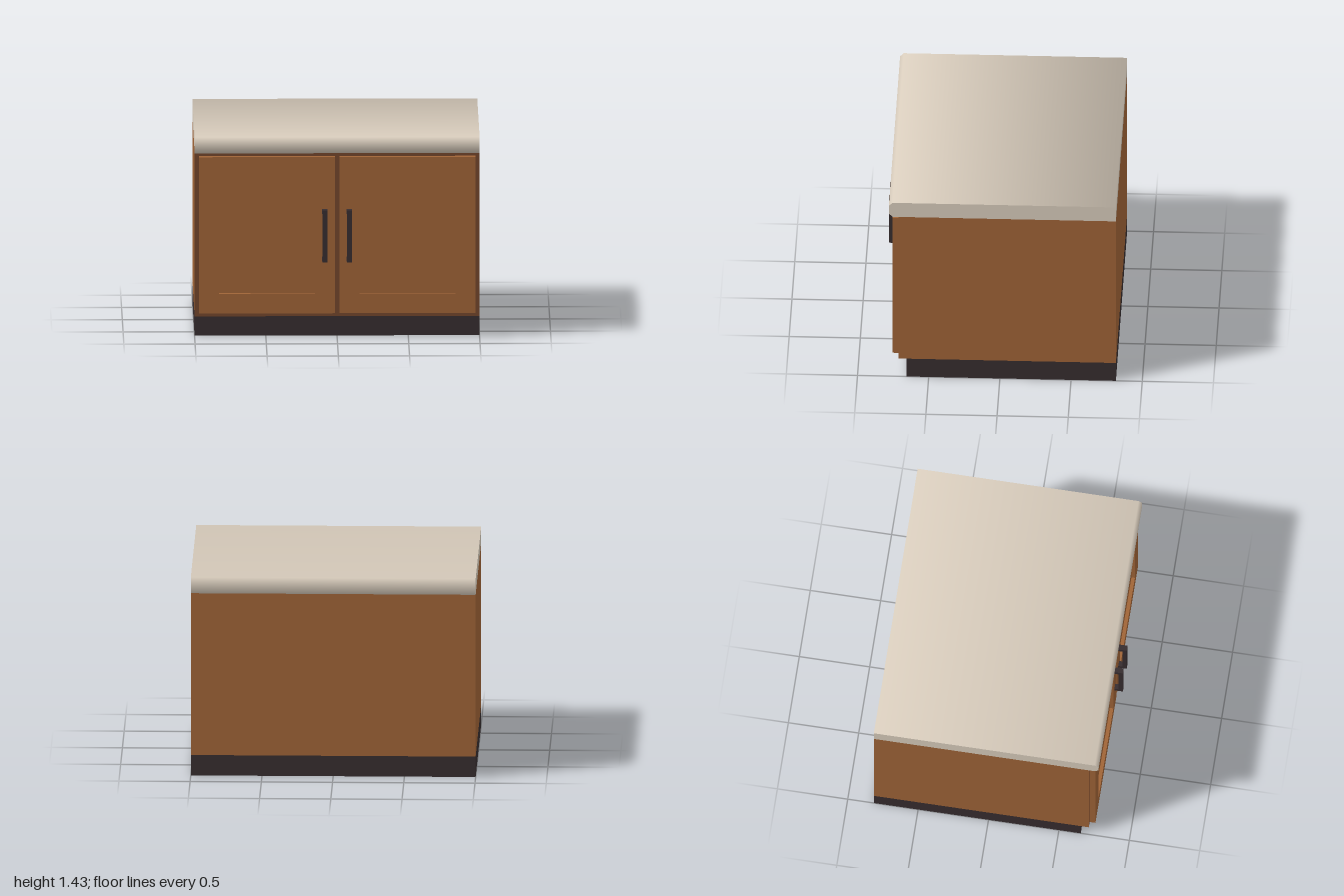
import * as THREE from 'three';

const mat = (name, color, side = THREE.FrontSide) => {
  const m = new THREE.MeshStandardMaterial({ color, side });
  m.name = name;
  return m;
};

// Rectangle as a closed outline, used for shapes and holes
function rect(Type, x0, y0, x1, y1) {
  const p = new Type();
  p.moveTo(x0, y0);
  p.lineTo(x1, y0);
  p.lineTo(x1, y1);
  p.lineTo(x0, y1);
  p.closePath();
  return p;
}

// Worktop band with normals blended around the profile, [z, y] points
function worktopBand(profile) {
  const n = profile.length;
  const faceNormal = (i) => {
    const [z0, y0] = profile[(i + n) % n], [z1, y1] = profile[(i + 1) % n];
    return new THREE.Vector3(0, z1 - z0, y0 - y1).normalize();
  };
  const pos = [], nor = [], idx = [];
  profile.forEach(([z, y], i) => {
    const v = faceNormal(i - 1).add(faceNormal(i)).normalize();
    for (const x of [-1, 1]) {
      pos.push(x, y, z);
      nor.push(v.x, v.y, v.z);
    }
    const a = 2 * i, b = 2 * ((i + 1) % n);
    idx.push(a, b, a + 1, a + 1, b, b + 1);
  });
  const g = new THREE.BufferGeometry();
  g.setAttribute('position', new THREE.Float32BufferAttribute(pos, 3));
  g.setAttribute('normal', new THREE.Float32BufferAttribute(nor, 3));
  g.setIndex(idx);
  return g;
}

export function createModel() {
  const model = new THREE.Group();
  model.name = 'baseCabinet';

  const wood = mat('wood', 0xa06437);
  const darkWood = mat('darkWood', 0x73462c);
  const stone = mat('stone', 0xd9cdbd, THREE.DoubleSide);
  const black = mat('blackBrown', 0x372d2f, THREE.DoubleSide);

  const add = (parent, name, geo, material) => {
    const m = new THREE.Mesh(geo, material);
    m.name = name;
    parent.add(m);
    return m;
  };
  // Box given by its lower and upper corners
  const box = (x0, y0, z0, x1, y1, z1) =>
    new THREE.BoxGeometry(x1 - x0, y1 - y0, z1 - z0)
      .translate((x0 + x1) / 2, (y0 + y1) / 2, (z0 + z1) / 2);

  const back = -0.815, face = 0.712, doorFront = 0.755;

  // Carcass with a darker front frame
  add(model, 'carcass', box(-1, 0.147, back, 1, 1.315, face),
    [wood, wood, wood, wood, darkWood, wood]);

  // Plinth: four thin walls, open underneath
  const plinth = new THREE.Group();
  plinth.name = 'plinth';
  model.add(plinth);
  const h = 0.147, toe = 0.655, depth = toe - back, mid = (toe + back) / 2;
  add(plinth, 'plinthFront', new THREE.PlaneGeometry(2, h).translate(0, h / 2, toe), black);
  add(plinth, 'plinthBack',
    new THREE.PlaneGeometry(2, h).rotateY(Math.PI).translate(0, h / 2, back), black);
  for (const s of [1, -1]) {
    add(plinth, s > 0 ? 'plinthLeft' : 'plinthRight',
      new THREE.PlaneGeometry(depth, h).rotateY(s * Math.PI / 2).translate(s, h / 2, mid), black);
  }

  // Doors with recessed panels and bracket handles
  for (const s of [1, -1]) {
    const door = new THREE.Group();
    door.name = s > 0 ? 'leftDoor' : 'rightDoor';
    model.add(door);
    const span = (a, b) => (s > 0 ? [a, b] : [-b, -a]);

    const [x0, x1] = span(0.015, 0.97);
    const [p0, p1] = span(0.157, 0.83);
    const frame = rect(THREE.Shape, x0, 0.175, x1, 1.288);
    frame.holes.push(rect(THREE.Path, p0, 0.315, p1, 1.15));
    add(door, 'doorFrame', new THREE.ExtrudeGeometry(frame,
      { depth: doorFront - face, bevelEnabled: false }).translate(0, 0, face), wood);
    add(door, 'doorPanel', box(p0, 0.315, face, p1, 1.15, doorFront - 0.025), wood);

    const [h0, h1] = span(0.067, 0.105);
    add(door, 'handleGrip', box(h0, 0.547, 0.785, h1, 0.917, 0.815), black);
    for (const y of [0.547, 0.885]) {
      add(door, 'handlePost', box(h0, y, doorFront, h1, y + 0.032, 0.785), black);
    }
  }

  // Worktop: rounded-looking band plus flat ends
  const profile = [
    [back, 1.43], [0.754, 1.43], [0.78, 1.404],
    [0.78, 1.341], [0.754, 1.315], [back, 1.315],
  ];
  const worktop = new THREE.Group();
  worktop.name = 'worktop';
  model.add(worktop);
  add(worktop, 'worktopSlab', worktopBand(profile), stone);
  const endShape = new THREE.Shape(profile.map(([z, y]) => new THREE.Vector2(z, y)));
  for (const s of [1, -1]) {
    const end = new THREE.ShapeGeometry(endShape);
    // Shape x becomes z; the left end is mirrored first so it faces outward
    if (s > 0) {
      end.rotateY(-Math.PI / 2);
      end.setIndex([...end.index.array].reverse());
      end.attributes.normal.array.forEach((v, i, a) => { a[i] = -v; });
    } else {
      end.rotateY(-Math.PI / 2);
    }
    add(worktop, s > 0 ? 'worktopLeftEnd' : 'worktopRightEnd', end.translate(s, 0, 0), stone);
  }

  return model;
}
